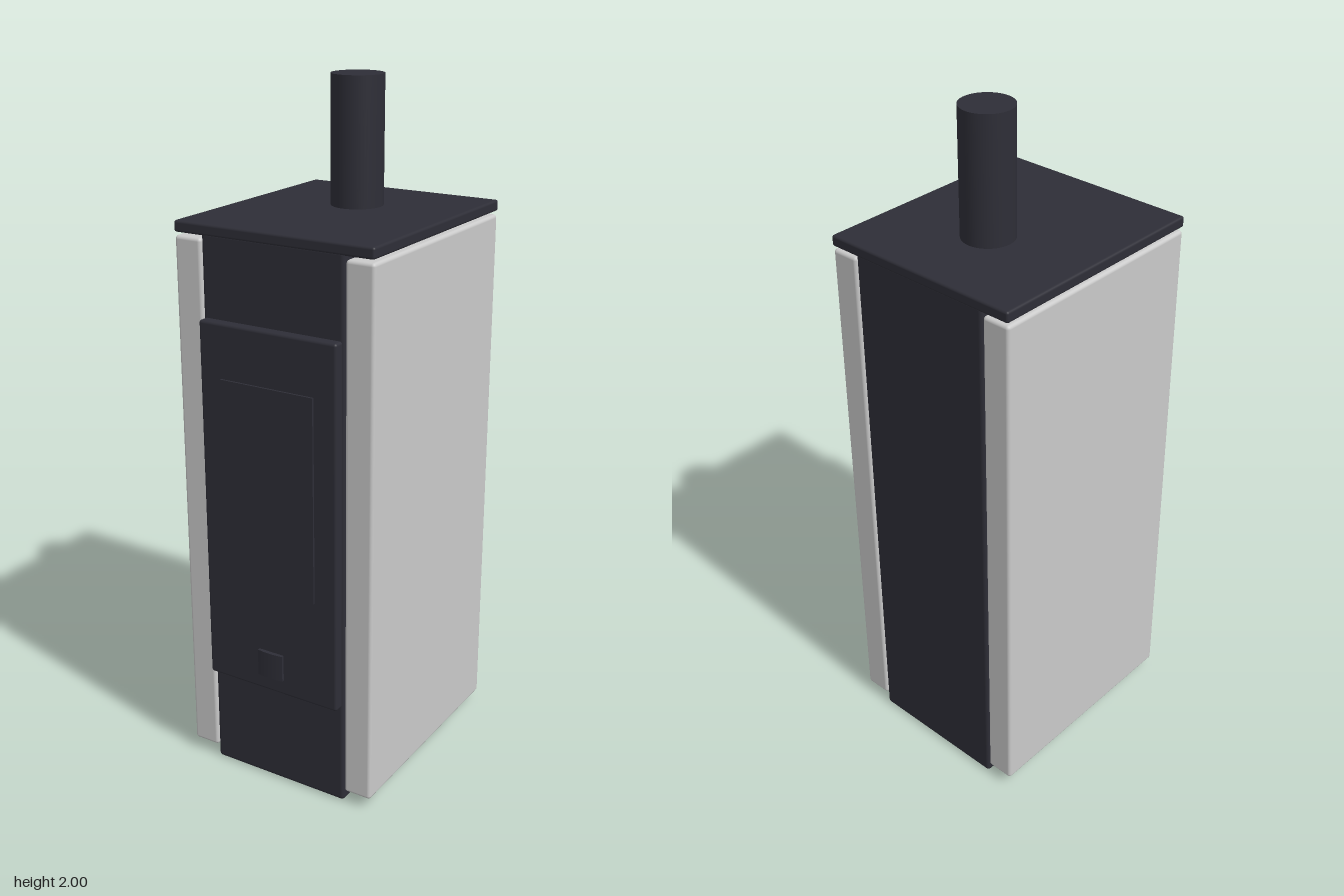
import * as THREE from 'three';
import { RoundedBoxGeometry } from 'three/addons/geometries/RoundedBoxGeometry.js';

export function createModel() {
  const model = new THREE.Group();
  model.name = 'stove';

  const darkSteel = new THREE.MeshStandardMaterial({ color: 0x2e2e37 });
  darkSteel.name = 'dark steel';
  const paleStone = new THREE.MeshStandardMaterial({ color: 0xcacaca });
  paleStone.name = 'pale stone';

  const add = (name, geometry, material) => {
    const mesh = new THREE.Mesh(geometry, material);
    mesh.name = name;
    model.add(mesh);
    return mesh;
  };

  // Box with softened edges, given by its limits on each axis
  const block = (name, [x0, x1], [y0, y1], [z0, z1], radius, material) => {
    const geometry = new RoundedBoxGeometry(x1 - x0, y1 - y0, z1 - z0, 3, radius);
    geometry.translate((x0 + x1) / 2, (y0 + y1) / 2, (z0 + z1) / 2);
    return add(name, geometry, material);
  };

  const depth = [-0.37, 0.33];

  // Body and overhanging top
  block('body', [-0.222, 0.222], [0, 1.62], depth, 0.012, darkSteel);
  block('topPlate', [-0.309, 0.309], [1.609, 1.641], [-0.373, 0.332], 0.007, darkSteel);

  // Side cladding
  block('leftPanel', [0.224, 0.309], [0.035, 1.6], depth, 0.01, paleStone);
  block('rightPanel', [-0.309, -0.224], [0.035, 1.6], depth, 0.01, paleStone);

  // Door with its window
  block('door', [-0.216, 0.216], [0.312, 1.387], [0.325, 0.36], 0.008, darkSteel);
  const pane = new THREE.BoxGeometry(0.294, 0.597, 0.008);
  pane.translate(0, 0.934, 0.362);
  add('window', pane, darkSteel);

  // Square latch with a face bowed from side to side
  const latch = new THREE.BoxGeometry(0.082, 0.08, 0.009, 10, 1, 1);
  const p = latch.attributes.position;
  for (let i = 0; i < p.count; i++) {
    if (p.getZ(i) > 0) p.setZ(i, 0.0085 - 0.004 * (p.getX(i) / 0.041) ** 2);
  }
  latch.computeVertexNormals();
  latch.translate(0, 0.4, 0.3635);
  add('latch', latch, darkSteel);

  // Flue pipe
  const flue = new THREE.CylinderGeometry(0.0745, 0.0745, 0.38, 48);
  flue.translate(0, 1.81, -0.105);
  add('fluePipe', flue, darkSteel);

  return model;
}
